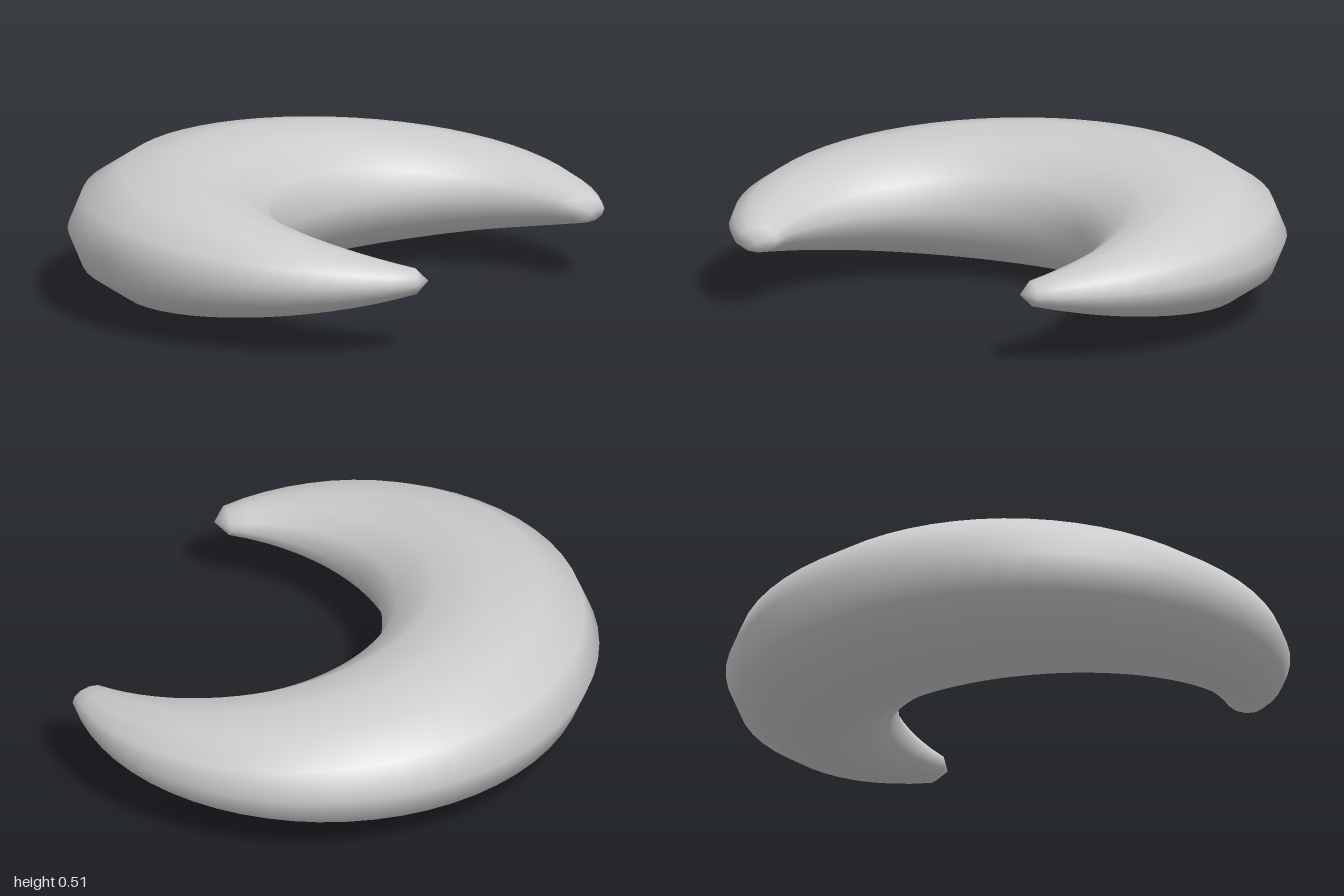
import * as THREE from 'three';

const SIDES = 12, STEPS = 48;
const CENTRE_X = 0.332, ARC_RADIUS = 0.757, MID_Y = 0.257;
const HALF_SWEEP = THREE.MathUtils.degToRad(126);
const MID_WIDTH = 0.395, TIP_WIDTH = 0.069, FLATTEN = 0.65, TIP_CAP = 0.045;

// Tapered elliptical tube swept along an arc, closed by a blunt point at each end
function crescentGeometry() {
  const positions = [], indices = [];
  for (let i = 0; i <= STEPS; i++) {
    const t = (i / STEPS) * 2 - 1;
    const angle = Math.PI + t * HALF_SWEEP;
    const r = TIP_WIDTH + (MID_WIDTH - TIP_WIDTH) * (1 - t * t);
    for (let j = 0; j < SIDES; j++) {
      const a = (j / SIDES) * Math.PI * 2;
      const d = ARC_RADIUS + r * Math.cos(a);
      positions.push(CENTRE_X + d * Math.cos(angle), MID_Y + r * FLATTEN * Math.sin(a), d * Math.sin(angle));
    }
  }
  // Wall between neighbouring rings
  for (let i = 0; i < STEPS; i++) {
    for (let j = 0; j < SIDES; j++) {
      const k = (j + 1) % SIDES;
      const a = i * SIDES + j, b = i * SIDES + k;
      const c = a + SIDES, d = b + SIDES;
      indices.push(a, b, c, b, d, c);
    }
  }
  // Tip caps
  for (const end of [-1, 1]) {
    const angle = Math.PI + end * HALF_SWEEP;
    const pole = positions.length / 3;
    positions.push(
      CENTRE_X + ARC_RADIUS * Math.cos(angle) - end * TIP_CAP * Math.sin(angle),
      MID_Y,
      ARC_RADIUS * Math.sin(angle) + end * TIP_CAP * Math.cos(angle)
    );
    const ring = end < 0 ? 0 : STEPS * SIDES;
    for (let j = 0; j < SIDES; j++) {
      const a = ring + j, b = ring + ((j + 1) % SIDES);
      if (end < 0) indices.push(pole, b, a);
      else indices.push(pole, a, b);
    }
  }
  const geometry = new THREE.BufferGeometry();
  geometry.setAttribute('position', new THREE.Float32BufferAttribute(positions, 3));
  geometry.setIndex(indices);
  geometry.computeVertexNormals();
  return geometry;
}

export function createModel() {
  const group = new THREE.Group();
  group.name = 'crescent';
  const grey = new THREE.MeshStandardMaterial({ color: 0xcccccc });
  grey.name = 'light grey';
  const body = new THREE.Mesh(crescentGeometry(), grey);
  body.name = 'crescentBody';
  group.add(body);
  return group;
}
